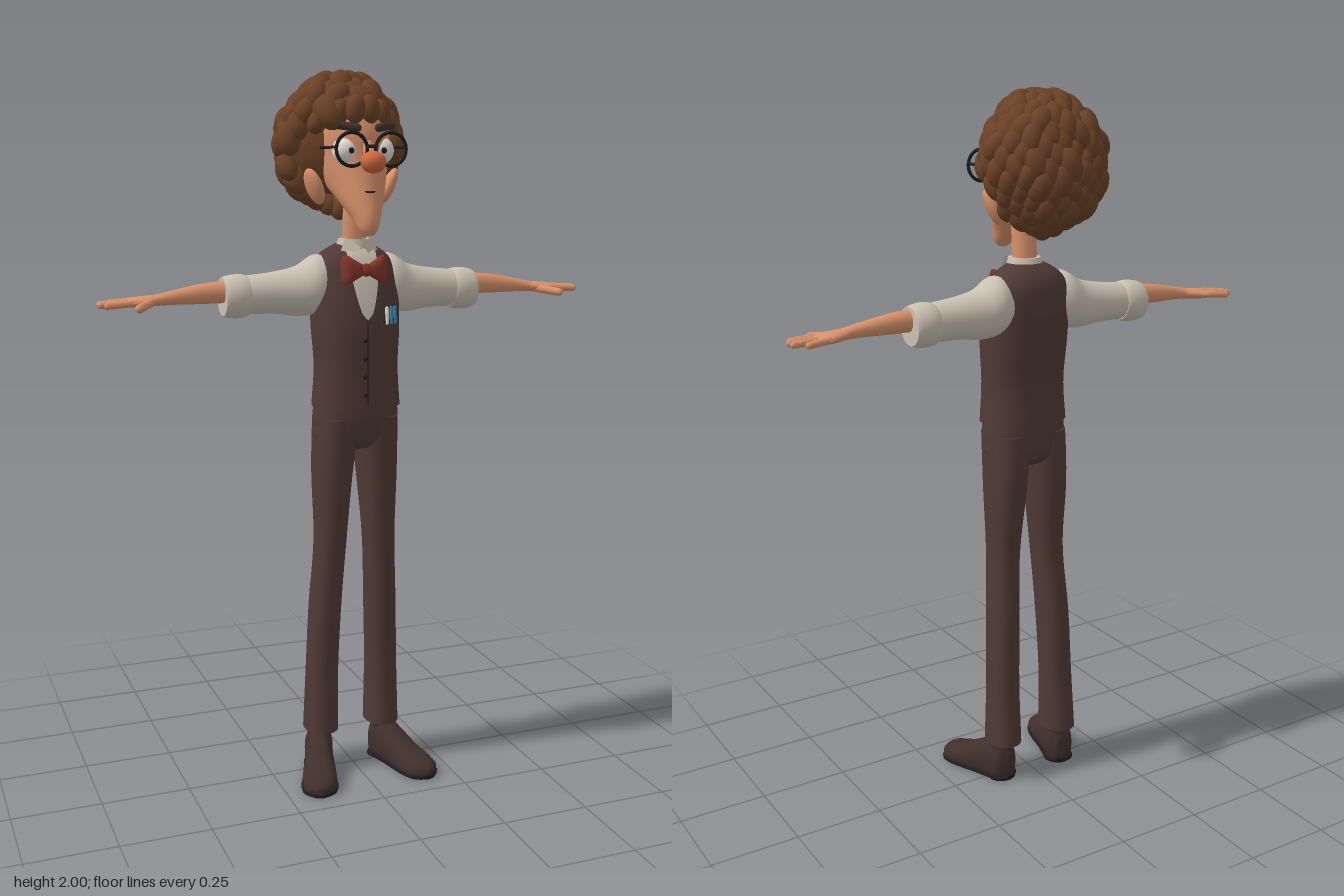
import * as THREE from 'three';

const V = (x, y, z) => new THREE.Vector3(x, y, z);
const mat = (name, color, side = THREE.FrontSide) => {
  const m = new THREE.MeshStandardMaterial({ color, side });
  m.name = name;
  return m;
};

// Smooth interpolation through rings [t, c1, c2, r1, r2]
function sampler(rings) {
  const f = new THREE.CubicInterpolant(rings.map(r => r[0]), rings.flatMap(r => r.slice(1)), 4);
  return t => Array.from(f.evaluate(t));
}

// Closed body through superellipse rings along an axis
function loft(axis, rings, { n = 28, rows = 24, p = 2 } = {}) {
  const at = sampler(rings), t0 = rings[0][0], t1 = rings[rings.length - 1][0];
  const pos = [], idx = [];
  const sp = v => Math.sign(v) * Math.abs(v) ** (2 / p);
  const put = (t, u, v) => pos.push(...(axis === 'x' ? [t, u, v] : axis === 'y' ? [u, t, v] : [u, v, t]));
  const ring = t => {
    const [c1, c2, r1, r2] = at(t);
    for (let j = 0; j < n; j++) {
      const a = j / n * Math.PI * 2;
      put(t, c1 + r1 * sp(Math.cos(a)), c2 + r2 * sp(Math.sin(a)) * (axis === 'y' ? -1 : 1));
    }
  };
  for (let i = 0; i <= rows; i++) ring(t0 + (t1 - t0) * i / rows);
  for (let i = 0; i < rows; i++) for (let j = 0; j < n; j++) {
    const a = i * n + j, b = i * n + (j + 1) % n;
    idx.push(a, b, a + n, b, b + n, a + n);
  }
  for (const [t, top] of [[t0, false], [t1, true]]) {
    const s = pos.length / 3, c = at(t);
    ring(t);
    put(t, c[0], c[1]);
    for (let j = 0; j < n; j++) {
      const k = s + (j + 1) % n;
      idx.push(...(top ? [s + j, k, s + n] : [k, s + j, s + n]));
    }
  }
  return build(pos, idx);
}
function build(pos, idx) {
  const g = new THREE.BufferGeometry();
  g.setAttribute('position', new THREE.Float32BufferAttribute(pos, 3));
  g.setIndex(idx);
  g.computeVertexNormals();
  return g;
}
// Move every vertex by a rule
function reshape(g, rule) {
  const a = g.attributes.position, v = V(0, 0, 0);
  for (let i = 0; i < a.count; i++) {
    v.fromBufferAttribute(a, i);
    rule(v);
    a.setXYZ(i, v.x, v.y, v.z);
  }
  g.computeVertexNormals();
  return g;
}
const ball = (x, y, z, a, b = a, c = a) => new THREE.SphereGeometry(1, 20, 14).scale(a, b, c).translate(x, y, z);
function limb(a, b, r) {
  const d = b.clone().sub(a), g = new THREE.CapsuleGeometry(r, d.length(), 5, 10);
  g.applyQuaternion(new THREE.Quaternion().setFromUnitVectors(V(0, 1, 0), d.clone().normalize()));
  return g.translate((a.x + b.x) / 2, (a.y + b.y) / 2, (a.z + b.z) / 2);
}
function mirrored(g) {
  const m = g.clone().scale(-1, 1, 1), ix = m.index.array;
  for (let i = 0; i < ix.length; i += 3) [ix[i], ix[i + 1]] = [ix[i + 1], ix[i]];
  return m;
}

export function createModel() {
  const model = new THREE.Group(), head = new THREE.Group();
  model.name = 'standingMan';
  head.name = 'head';
  head.position.x = -0.006;
  model.add(head);

  const skin = mat('skin', 0xd8926c), noseRed = mat('noseOrange', 0xcf6a3c), hair = mat('hairBrown', 0x6b4226);
  const cloth = mat('suitBrown', 0x503a35, THREE.DoubleSide), shirt = mat('shirtCream', 0xcac1b1, THREE.DoubleSide);
  const red = mat('bowTieRed', 0x83352a), black = mat('black', 0x1e1d20), shoe = mat('shoeBrown', 0x40302b);
  const blue = mat('penBlue', 0x3a7ca5), white = mat('eyeWhite', 0xe4ddd6);

  const add = (name, g, m, parent = model) => {
    const mesh = new THREE.Mesh(g, m);
    mesh.name = name;
    parent.add(mesh);
  };
  const pair = (name, g, m, parent = model) => {
    add(name + 'Left', g, m, parent);
    add(name + 'Right', mirrored(g), m, parent);
  };

  // Trousers
  add('trouserSeat', loft('y', [[0.97, 0, 0.012, 0.07, 0.055], [0.99, 0, 0.013, 0.112, 0.074],
    [1.04, 0, 0.018, 0.122, 0.085], [1.11, 0, 0.02, 0.118, 0.086]], { p: 2.3 }), cloth);
  pair('trouserLeg', loft('y', [[0.12, 0.095, -0.018, 0.049, 0.062], [0.3, 0.092, -0.013, 0.046, 0.052],
    [0.5, 0.085, -0.004, 0.045, 0.055], [0.7, 0.074, 0.011, 0.045, 0.054], [0.9, 0.067, 0.01, 0.055, 0.074],
    [1, 0.061, 0.014, 0.06, 0.08], [1.06, 0.06, 0.018, 0.06, 0.08]], { p: 2.2 }), cloth);

  // Shoes, toes turned out
  const place = g => g.rotateY(0.32).translate(0.107, 0, 0);
  const shoeRings = [[-0.058, 0, 0.05, 0.012, 0.03], [-0.045, 0, 0.05, 0.034, 0.06], [0, 0, 0.05, 0.04, 0.07],
    [0.045, 0, 0.04, 0.042, 0.062], [0.1, 0, 0.026, 0.048, 0.046], [0.15, 0, 0.02, 0.049, 0.034],
    [0.185, 0, 0.018, 0.036, 0.024], [0.2, 0, 0.018, 0.012, 0.01]];
  pair('shoe', place(reshape(loft('z', shoeRings, { p: 2.3 }), v => { v.y = Math.max(v.y, 0.008); })), shoe);
  pair('sole', place(loft('z', shoeRings.map(([z, x, , r]) => [z, x, 0.007, r + 0.003, 0.007]), { p: 4 })), black);
  pair('ankle', new THREE.CylinderGeometry(0.034, 0.034, 0.08, 16).translate(0.1, 0.12, -0.018), shoe);

  // Waistcoat with pointed hem
  const torso = [[1.09, 0, 0.021, 0.124, 0.095], [1.2, 0, 0.022, 0.117, 0.092], [1.32, 0, 0.016, 0.123, 0.098],
    [1.42, 0, 0.005, 0.122, 0.094], [1.48, 0, -0.002, 0.112, 0.083], [1.515, 0, -0.002, 0.085, 0.066],
    [1.535, 0, 0, 0.05, 0.045]];
  const P = 2.4, torsoAt = sampler(torso);
  const front = (x, y) => {
    const [, cz, rx, rz] = torsoAt(THREE.MathUtils.clamp(y, 1.09, 1.535));
    return cz + rz * Math.max(0, 1 - Math.abs(x / rx) ** P) ** (1 / P);
  };
  add('waistcoat', reshape(loft('y', torso, { n: 64, rows: 40, p: P }), v => {
    const k = Math.max(0, 1 - (v.y - 1.09) / 0.06);
    if (v.z > 0.03) v.y -= k * 0.028 * Math.exp(-(((Math.abs(v.x) - 0.035) / 0.022) ** 2));
  }), cloth);

  // Thin plates that follow the chest
  const patch = (y0, y1, left, right, lift) => {
    const pos = [], idx = [], n = 12;
    for (let i = 0; i <= n; i++) for (let j = 0; j <= n; j++) {
      const y = y0 + (y1 - y0) * i / n, x = left(y) + (right(y) - left(y)) * j / n;
      pos.push(x, y, front(x, y) + lift);
      if (i < n && j < n) {
        const a = i * (n + 1) + j;
        idx.push(a, a + 1, a + n + 1, a + 1, a + n + 2, a + n + 1);
      }
    }
    return build(pos, idx);
  };
  const vee = y => Math.min(0.042, 0.036 * Math.sqrt((y - 1.335) / 0.1));
  add('shirtFront', patch(1.335, 1.53, y => -vee(y), vee, 0.004), shirt);
  add('waistcoatSeam', patch(1.1, 1.335, () => -0.002, () => 0.001, 0.002), black);
  for (const y of [1.13, 1.18, 1.23, 1.28]) add('button', ball(-0.008, y, front(0, y) + 0.002, 0.006, 0.006, 0.004), black);
  add('pocketEdge', patch(1.325, 1.335, () => 0.045, () => 0.1, 0.004), shoe);
  [0.058, 0.073, 0.087].forEach((x, i) =>
    add('pen', limb(V(x, 1.325, front(x, 1.325) + 0.004), V(x, 1.365, front(x, 1.365) + 0.006), 0.005), i === 0 ? white : blue));

  // Sleeves with rolled cuffs
  pair('sleeve', loft('x', [[0.07, 1.43, -0.006, 0.07, 0.062], [0.11, 1.427, -0.006, 0.081, 0.073],
    [0.16, 1.41, -0.008, 0.069, 0.066], [0.22, 1.407, -0.011, 0.058, 0.058], [0.31, 1.403, -0.014, 0.052, 0.053]]), shirt);
  pair('cuff', loft('x', [[0.3, 1.401, -0.015, 0.052, 0.054], [0.306, 1.401, -0.015, 0.056, 0.057],
    [0.36, 1.4, -0.015, 0.056, 0.057], [0.37, 1.4, -0.015, 0.052, 0.053]]), shirt);

  // Forearms and hands
  pair('forearm', loft('x', [[0.35, 1.415, -0.008, 0.031, 0.029], [0.43, 1.411, -0.008, 0.027, 0.025],
    [0.52, 1.403, -0.005, 0.018, 0.02], [0.57, 1.397, -0.006, 0.014, 0.024]], { n: 18 }), skin);
  pair('palm', loft('x', [[0.54, 1.4, -0.006, 0.014, 0.02], [0.575, 1.397, -0.008, 0.015, 0.034],
    [0.61, 1.395, -0.012, 0.013, 0.042], [0.635, 1.394, -0.012, 0.008, 0.036]], { n: 18 }), skin);
  for (const [z0, x1, z1] of [[-0.043, 0.668, -0.053], [-0.022, 0.697, -0.026], [-0.002, 0.698, -0.003], [0.018, 0.685, 0.021]])
    pair('finger', limb(V(0.61, 1.396, z0), V(x1, 1.391, z1), 0.0095), skin);
  pair('thumb', limb(V(0.57, 1.394, 0.01), V(0.613, 1.386, 0.068), 0.0115), skin);

  // Neck, collar and bow tie
  add('neck', limb(V(0, 1.49, 0.006), V(0, 1.66, 0.018), 0.034), skin);
  add('collar', loft('y', [[1.495, 0, 0.005, 0.06, 0.056], [1.53, 0, 0.01, 0.05, 0.049], [1.55, 0, 0.012, 0.045, 0.044]]), shirt);
  const wing = new THREE.ShapeGeometry(new THREE.Shape(
    [[0.004, 1.53], [0.036, 1.492], [0.056, 1.512], [0.04, 1.555]].map(q => new THREE.Vector2(...q))));
  pair('collarWing', reshape(wing, v => { v.z = 0.083 - v.x * 0.55 - (v.y - 1.5) * 0.25; }), shirt);
  pair('bow', loft('x', [[0.004, 1.47, 0.098, 0.012, 0.011], [0.03, 1.47, 0.095, 0.027, 0.017],
    [0.055, 1.47, 0.088, 0.04, 0.017], [0.065, 1.47, 0.084, 0.033, 0.007]], { n: 20, p: 2.5 }), red);
  add('bowKnot', ball(0, 1.47, 0.102, 0.015, 0.018, 0.014), red);

  // Face
  add('skull', loft('y', [[1.564, 0, 0.136, 0.012, 0.012], [1.575, 0, 0.133, 0.023, 0.025], [1.61, 0, 0.112, 0.037, 0.05],
    [1.65, 0, 0.078, 0.057, 0.075], [1.7, 0, 0.03, 0.078, 0.112], [1.76, 0, 0.002, 0.094, 0.13],
    [1.85, 0, -0.01, 0.1, 0.138], [1.93, 0, -0.02, 0.08, 0.1], [1.96, 0, -0.02, 0.03, 0.04]], { rows: 36 }), skin, head);
  pair('ear', ball(0, 0, 0, 0.018, 0.052, 0.033).rotateZ(-0.4).rotateY(-0.3).translate(0.108, 1.69, 0.008), skin, head);
  add('nose', ball(0, 1.755, 0.165, 0.034, 0.029, 0.034), noseRed, head);
  add('noseBridge', limb(V(0, 1.8, 0.122), V(0, 1.765, 0.145), 0.016), skin, head);
  pair('eye', ball(0.05, 1.785, 0.091, 0.036, 0.036, 0.036), white, head);
  pair('pupil', ball(0.046, 1.785, 0.126, 0.008, 0.008, 0.003), black, head);
  pair('eyebrow', limb(V(0.03, 1.843, 0.128), V(0.075, 1.85, 0.104), 0.011), shoe, head);
  add('mouth', new THREE.TubeGeometry(new THREE.CatmullRomCurve3(
    [V(-0.03, 1.682, 0.133), V(0, 1.677, 0.146), V(0.03, 1.682, 0.133)]), 12, 0.003, 6), black, head);

  // Glasses
  pair('glassesRim', new THREE.TorusGeometry(0.043, 0.0048, 8, 32).translate(0.055, 1.788, 0.152), black, head);
  pair('glassesTemple', limb(V(0.097, 1.793, 0.15), V(0.1, 1.793, 0.01), 0.004), black, head);
  add('glassesBridge', limb(V(-0.013, 1.795, 0.153), V(0.013, 1.795, 0.153), 0.0045), black, head);

  // Curly hair: a cap covered in overlapping curls
  add('hairCap', ball(-0.02, 1.815, -0.055, 0.135, 0.15, 0.12), hair, head);
  let seed = 7;
  const rnd = () => (seed = (seed * 16807) % 2147483647) / 2147483647;
  const curls = 190;
  for (let i = 0; i < curls; i++) {
    const h = 1 - 2 * (i + 0.5) / curls, r = Math.sqrt(1 - h * h), a = i * 2.39996;
    const k = 0.95 + rnd() * 0.09;
    const x = -0.022 + 0.155 * k * r * Math.cos(a), y = 1.8 + 0.163 * k * h, z = -0.028 + 0.145 * k * r * Math.sin(a);
    const tilt = rnd() * 1.2 - 0.6, size = 0.029 + rnd() * 0.008;
    if (!(z < -0.035 || (y > 1.785 && z < 0.02) || y > 1.88)) continue;
    const g = new THREE.SphereGeometry(size, 14, 10).scale(0.95, 1.35, 0.95).rotateZ(tilt);
    g.rotateX(-h * 0.8).rotateY(Math.atan2(x + 0.022, z + 0.028)).translate(x, y, z);
    add('curl', g, hair, head);
  }
  // Fringe over the forehead
  for (let i = 0; i < 6; i++) {
    const u = i / 5 * 2 - 1;
    add('fringeCurl', ball(0, 0, 0, 0.027, 0.038, 0.026).rotateZ(u * 0.5)
      .translate(-0.012 + u * 0.1, 1.892 - 0.03 * u * u, 0.122 - 0.07 * u * u), hair, head);
  }
  return model;
}
